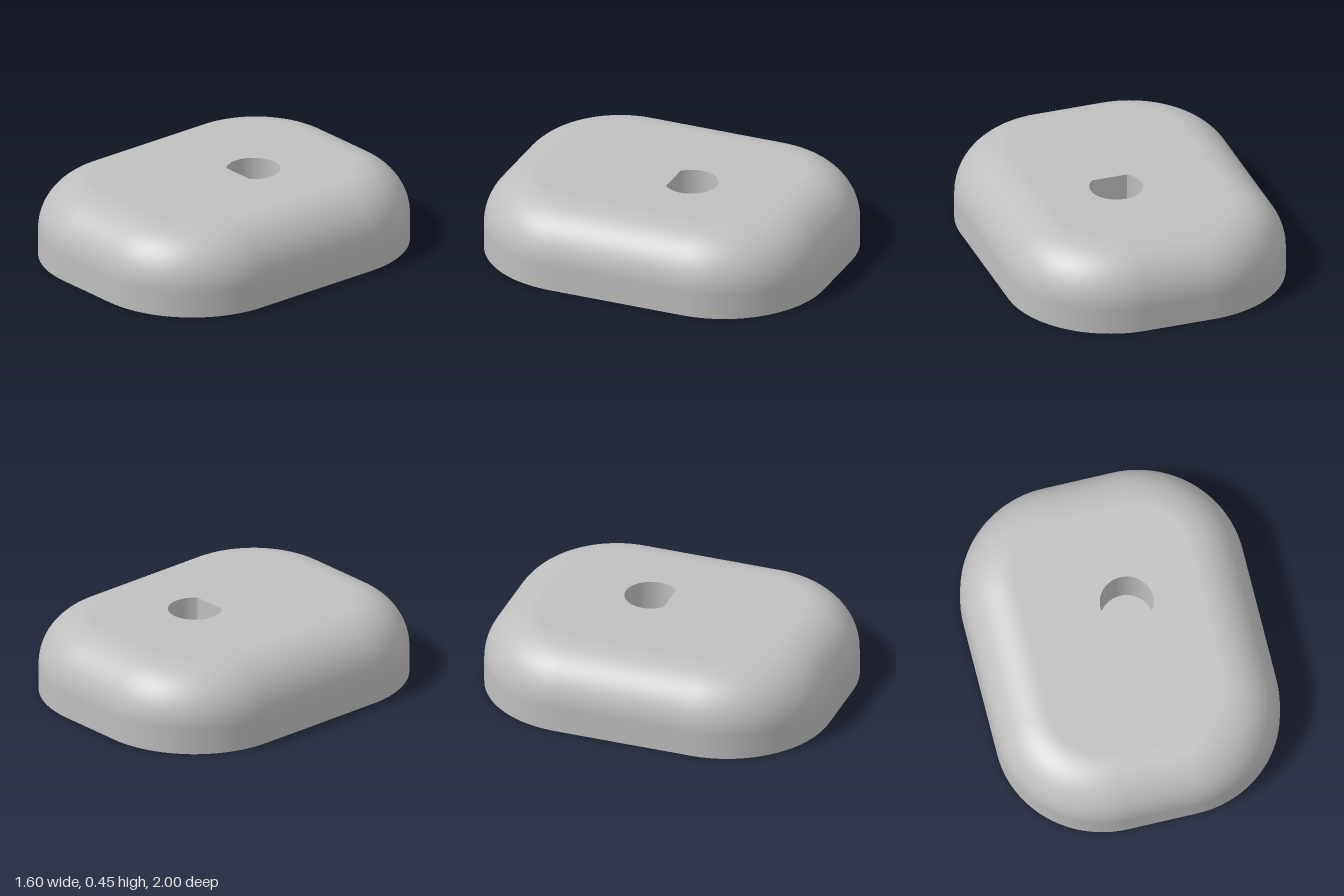
import * as THREE from 'three';

const HALF_X = 0.8, HALF_Z = 1, HEIGHT = 0.45;
const CORNER = 0.6, FILLET = 0.3;
const HOLE = { x: 0.075, z: -0.15, r: 0.15, flat: 0.11, floor: 0.15 };

// Smooth surface from a grid of points and normals: at(i, j) -> { p, n }
function surface(nu, nv, at) {
  const pos = [], nor = [], index = [];
  for (let i = 0; i <= nu; i++) {
    for (let j = 0; j <= nv; j++) {
      const { p, n } = at(i, j);
      pos.push(...p);
      nor.push(...n);
      if (i < nu && j < nv) {
        const a = i * (nv + 1) + j, b = a + nv + 1;
        index.push(a, a + 1, b, b, a + 1, b + 1);
      }
    }
  }
  const g = new THREE.BufferGeometry();
  g.setAttribute('position', new THREE.Float32BufferAttribute(pos, 3));
  g.setAttribute('normal', new THREE.Float32BufferAttribute(nor, 3));
  g.setIndex(index);
  return g;
}

// Rounded-rectangle outline: corner arc centre (x, z) plus outward angle a
function roundedOutline(segments) {
  const pts = [];
  const dx = HALF_X - CORNER, dz = HALF_Z - CORNER;
  [[1, 1], [-1, 1], [-1, -1], [1, -1]].forEach(([sx, sz], q) => {
    for (let k = 0; k <= segments; k++) {
      pts.push({ x: sx * dx, z: sz * dz, a: (q + k / segments) * Math.PI / 2 });
    }
  });
  return pts;
}

// Flat face lying at height y, from [x, z] points
function flatFace(points, y, holePoints, down = false) {
  const toV = ([x, z]) => new THREE.Vector2(x, down ? z : -z);
  const shape = new THREE.Shape(points.map(toV));
  if (holePoints) shape.holes.push(new THREE.Path(holePoints.map(toV)));
  return new THREE.ShapeGeometry(shape)
    .rotateX(down ? Math.PI / 2 : -Math.PI / 2)
    .translate(0, y, 0);
}

export function createModel() {
  const group = new THREE.Group();
  const grey = new THREE.MeshStandardMaterial({ color: 0xbfbfbf });
  grey.name = 'light grey';
  const add = (name, geometry) => {
    const mesh = new THREE.Mesh(geometry, grey);
    mesh.name = name;
    group.add(mesh);
  };

  const outline = roundedOutline(24);
  const ring = r => outline.map(o => [o.x + r * Math.cos(o.a), o.z + r * Math.sin(o.a)]);

  // Side wall and rounded upper edge; the first profile row is the base
  const steps = 20;
  add('roundedSide', surface(outline.length, steps + 1, (i, j) => {
    const o = outline[i % outline.length];
    const t = Math.max(0, j - 1) / steps * Math.PI / 2;
    const c = Math.cos(t), s = Math.sin(t);
    const r = CORNER - FILLET + FILLET * c;
    const y = j === 0 ? 0 : HEIGHT - FILLET + FILLET * s;
    const cx = Math.cos(o.a), cz = Math.sin(o.a);
    return { p: [o.x + r * cx, y, o.z + r * cz], n: [c * cx, s, c * cz] };
  }));

  // D-shaped shaft socket: an arc closed by a flat on its front side
  const a0 = Math.asin(HOLE.flat / HOLE.r), arcSteps = 48;
  const arcAngle = i => 2 * Math.PI + a0 - i / arcSteps * (Math.PI + 2 * a0);
  const arcPoint = i => [
    HOLE.x + HOLE.r * Math.cos(arcAngle(i)),
    HOLE.z + HOLE.r * Math.sin(arcAngle(i)),
  ];
  const holePts = Array.from({ length: arcSteps + 1 }, (_, i) => arcPoint(i));

  add('topFace', flatFace(ring(CORNER - FILLET), HEIGHT, holePts));
  add('bottomFace', flatFace(ring(CORNER), 0, null, true));
  add('socketFloor', flatFace(holePts, HOLE.floor));

  add('socketCurvedWall', surface(arcSteps, 1, (i, j) => {
    const [x, z] = arcPoint(i), a = arcAngle(i);
    return { p: [x, j ? HEIGHT : HOLE.floor, z], n: [-Math.cos(a), 0, -Math.sin(a)] };
  }));

  const depth = HEIGHT - HOLE.floor;
  add('socketFlatWall', new THREE.PlaneGeometry(2 * HOLE.r * Math.cos(a0), depth)
    .rotateY(Math.PI)
    .translate(HOLE.x, HOLE.floor + depth / 2, HOLE.z + HOLE.flat));

  return group;
}
